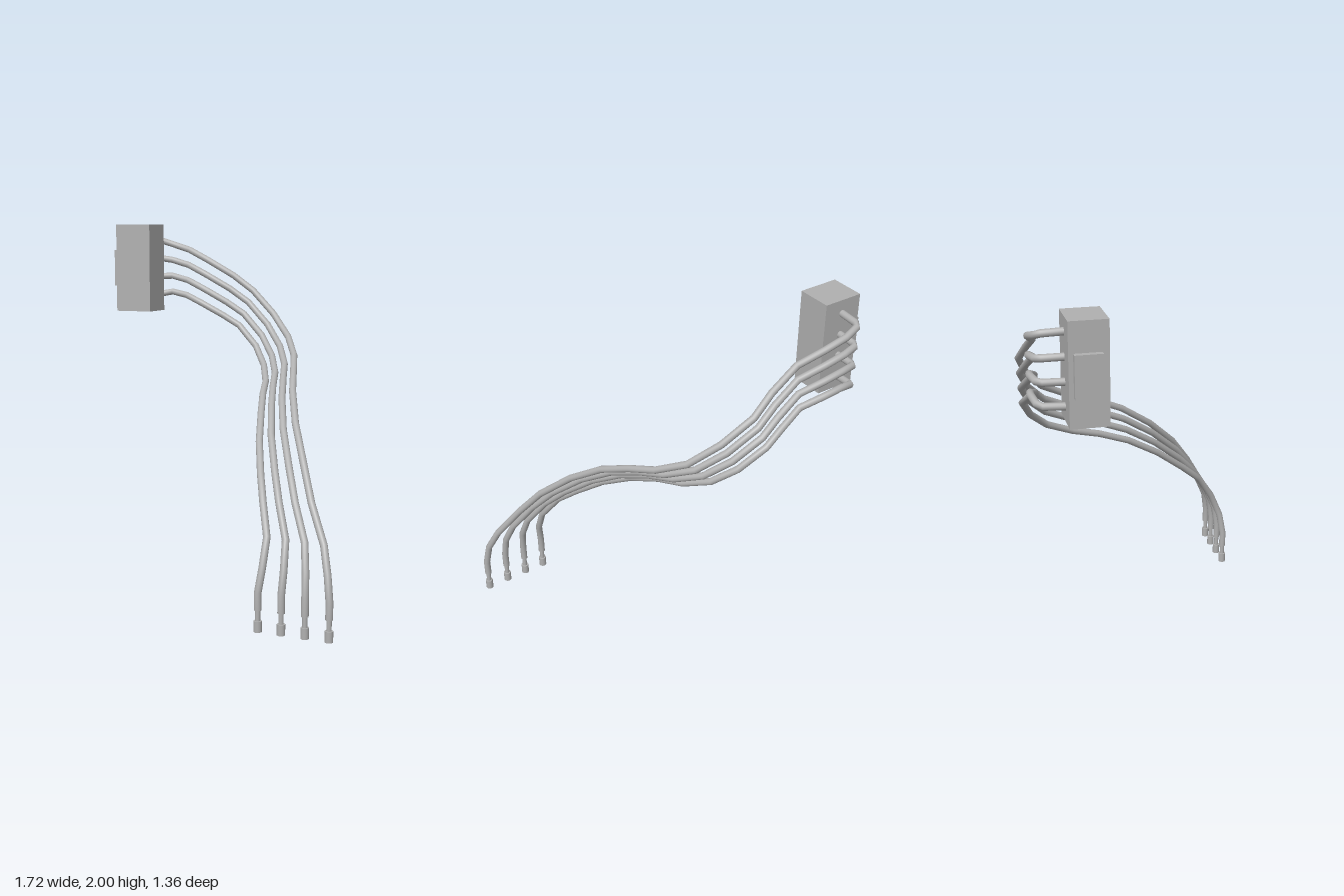
import * as THREE from 'three';

// Straight-segment path that hits every given point, so the tube keeps its soft kinks
class KnotPath extends THREE.Curve {
  constructor(points) {
    super();
    this.points = points;
  }
  getUtoTmapping(u) {
    return u;
  }
  getPoint(t, target = new THREE.Vector3()) {
    const last = this.points.length - 1;
    const i = Math.min(Math.floor(t * last), last - 1);
    return target.lerpVectors(this.points[i], this.points[i + 1], t * last - i);
  }
}

// Knots of the outermost and innermost cables; the others lie evenly between
const OUTER = [
  [-.72, 1.925, -.505], [-.715, 1.92, -.62], [-.70, 1.91, -.645], [-.62, 1.885, -.66], [-.5, 1.85, -.65],
  [-.36, 1.79, -.61], [-.2, 1.7, -.625], [-.08, 1.61, -.645], [.07, 1.48, -.59], [.2, 1.355, -.49],
  [.29, 1.265, -.34], [.345, 1.2, -.18], [.405, 1.11, 0], [.49, .97, .19], [.595, .8, .36],
  [.68, .63, .48], [.78, .45, .58], [.82, .32, .64], [.837, .2, .66], [.837, .11, .66],
];
const INNER = [
  [-.72, 1.565, -.505], [-.715, 1.57, -.62], [-.70, 1.58, -.645], [-.62, 1.595, -.66], [-.52, 1.575, -.65],
  [-.4, 1.53, -.61], [-.27, 1.46, -.63], [-.17, 1.4, -.645], [-.04, 1.285, -.59], [.05, 1.185, -.49],
  [.12, 1.11, -.34], [.165, 1.06, -.18], [.225, .98, 0], [.29, .86, .19], [.365, .72, .36],
  [.425, .61, .48], [.485, .46, .58], [.485, .32, .64], [.47, .2, .66], [.47, .11, .66],
];

export function createModel() {
  const model = new THREE.Group();
  model.name = 'cableHarness';
  const grey = new THREE.MeshStandardMaterial({ color: 0xb0b0b0 });
  grey.name = 'grey';

  const add = (parent, name, geometry, x = 0, y = 0, z = 0) => {
    const mesh = new THREE.Mesh(geometry, grey);
    mesh.name = name;
    mesh.position.set(x, y, z);
    parent.add(mesh);
    return mesh;
  };

  // Plug housing with a latch on its outer side
  add(model, 'housing', new THREE.BoxGeometry(.22, .51, .19), -.72, 1.745, -.42);
  add(model, 'latch', new THREE.BoxGeometry(.035, .21, .135), -.8425, 1.745, -.425);

  // Four cables, each ending in a narrow neck and a ferrule
  const radius = .0188;
  for (let i = 0; i < 4; i++) {
    const cable = new THREE.Group();
    cable.name = 'cable' + (i + 1);
    const points = OUTER.map((p, k) =>
      new THREE.Vector3(...p).lerp(new THREE.Vector3(...INNER[k]), i / 3));
    add(cable, 'sleeve', new THREE.TubeGeometry(new KnotPath(points), points.length - 1, radius, 16));

    const { x, z } = points[points.length - 1];
    add(cable, 'sleeveEnd', new THREE.CircleGeometry(radius, 16).rotateX(Math.PI / 2), x, .11, z);
    add(cable, 'neck', new THREE.CylinderGeometry(.013, .013, .07, 16), x, .085, z);
    add(cable, 'ferrule', new THREE.CylinderGeometry(.021, .021, .056, 16), x, .028, z);
    model.add(cable);
  }
  return model;
}
